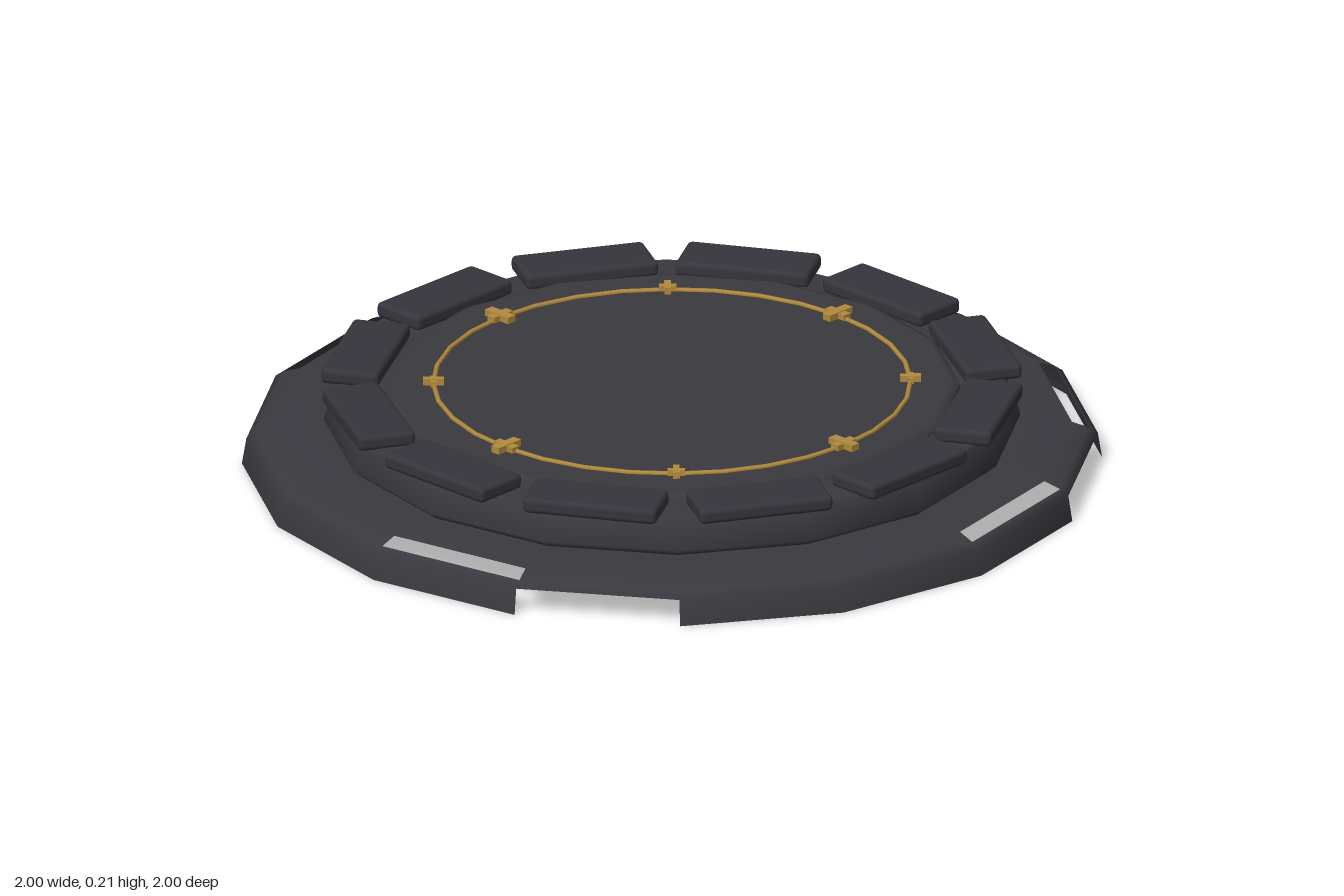
import * as THREE from 'three';
import { RoundedBoxGeometry } from 'three/addons/geometries/RoundedBoxGeometry.js';

const SIDES = 16;

function material(name, color) {
  const m = new THREE.MeshStandardMaterial({ color, side: THREE.DoubleSide });
  m.name = name;
  return m;
}

function lathe(profile) {
  return new THREE.LatheGeometry(profile.map(([r, y]) => new THREE.Vector2(r, y)), SIDES);
}

// Removes single panels of a lathe; openings maps a profile band to its open sides
function cutPanels(geometry, bands, openings) {
  const index = Array.from(geometry.index.array);
  const kept = [];
  for (let side = 0; side < SIDES; side++) {
    for (let band = 0; band < bands; band++) {
      if (openings[band]?.includes(side)) continue;
      const start = (side * bands + band) * 6;
      kept.push(...index.slice(start, start + 6));
    }
  }
  geometry.setIndex(kept);
  return geometry;
}

export function createModel() {
  const group = new THREE.Group();
  group.name = 'roundPlatform';

  const stone = material('darkStone', 0x39393f);
  const tileStone = material('tileStone', 0x37353c);
  const gold = material('gold', 0xb28a3c);

  const add = (name, geometry, mat, parent = group) => {
    const mesh = new THREE.Mesh(geometry, mat);
    mesh.name = name;
    parent.add(mesh);
    return mesh;
  };

  // Base: a shell open below, with a few open panels in the wall and the bevel
  const baseProfile = [[1, 0], [0.99, 0.062], [0.97, 0.076], [0.93, 0.09], [0.8, 0.092], [0, 0.092]];
  add('baseShell', cutPanels(lathe(baseProfile), baseProfile.length - 1, {
    0: [1, 9, 13],
    2: [0, 2, 4, 8, 12],
  }), stone);

  // Raised drum and the floor in its middle
  add('drum', lathe([[0.79, 0.092], [0.81, 0.11], [0.793, 0.172], [0.78, 0.18], [0.66, 0.18]]), stone);
  add('floor', lathe([[0.672, 0.178], [0.668, 0.19], [0.65, 0.196], [0, 0.196]]), stone);

  // Ring of twelve slabs
  const slab = new RoundedBoxGeometry(0.32, 0.038, 0.138, 2, 0.012);
  for (let i = 0; i < 12; i++) {
    const a = (i / 12) * Math.PI * 2;
    const mesh = add('edgeSlab', slab, tileStone);
    mesh.position.set(Math.sin(a) * 0.734, 0.195, Math.cos(a) * 0.734);
    mesh.rotation.y = a;
  }

  // Thin inlaid ring with eight small crosses
  const ring = add('inlaidRing', new THREE.TorusGeometry(0.555, 0.006, 6, 32), gold);
  ring.rotation.x = -Math.PI / 2;
  ring.position.y = 0.198;

  const radialBar = new THREE.BoxGeometry(0.024, 0.02, 0.075);
  const crossBar = new THREE.BoxGeometry(0.062, 0.016, 0.022);
  for (let i = 0; i < 8; i++) {
    const a = (i / 8) * Math.PI * 2;
    const cross = new THREE.Group();
    cross.name = 'ringCross';
    cross.position.set(Math.sin(a) * 0.555, 0.202, Math.cos(a) * 0.555);
    cross.rotation.y = a;
    const s = i % 2 ? 0.65 : 1;
    cross.scale.set(s, 1, s);
    add('radialBar', radialBar, gold, cross);
    add('crossBar', crossBar, gold, cross);
    group.add(cross);
  }

  return group;
}
